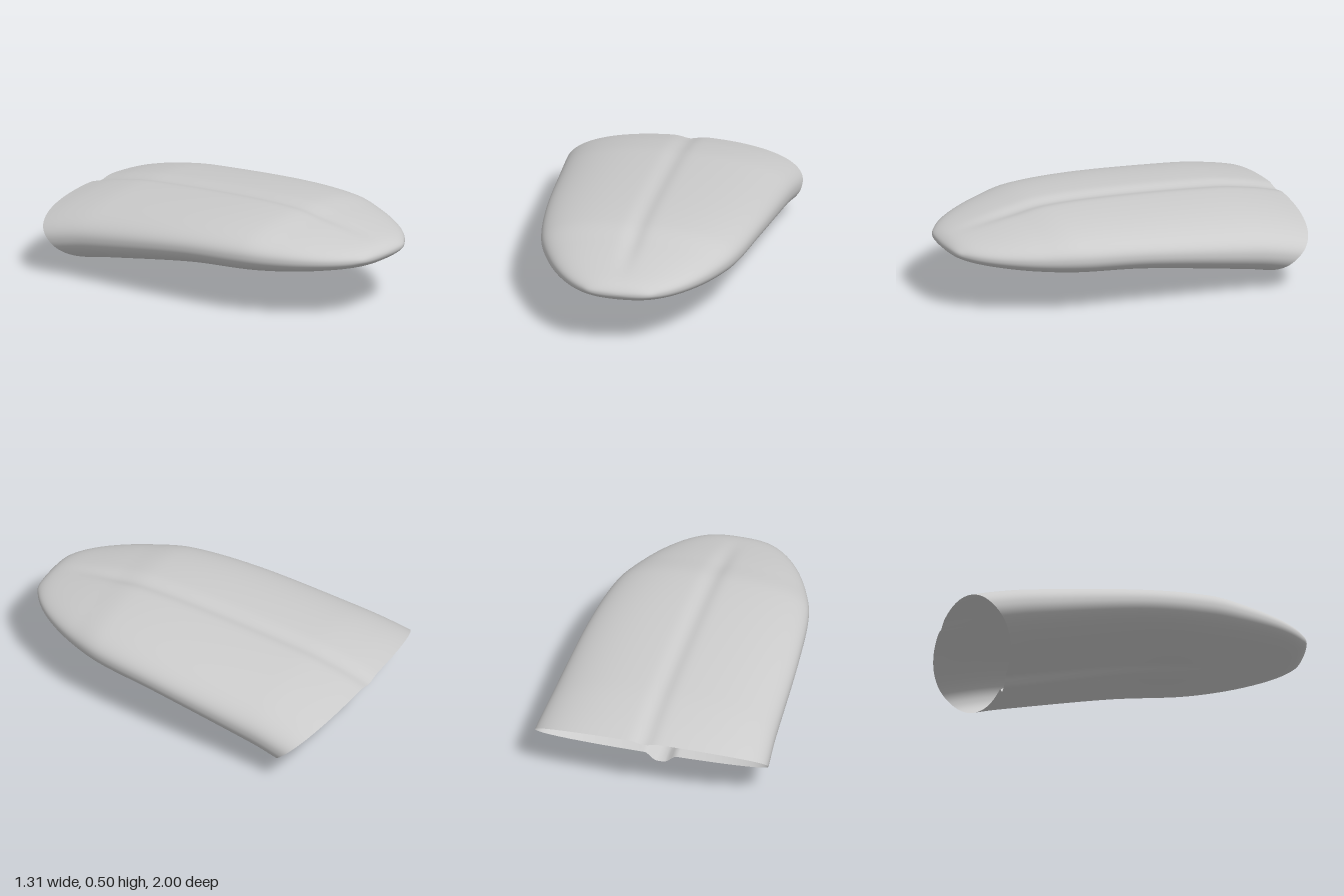
import * as THREE from 'three';

// Lengthwise profile, tip to open end: z, half width, top y, bottom y
const STATIONS = [
  [1, 0, 0.355, 0.355],
  [0.99, 0.14, 0.378, 0.332],
  [0.95, 0.22, 0.405, 0.305],
  [0.8, 0.365, 0.443, 0.265],
  [0.6, 0.475, 0.479, 0.227],
  [0.4, 0.545, 0.506, 0.2],
  [0, 0.597, 0.494, 0.167],
  [-0.6, 0.635, 0.443, 0.062],
  [-0.84, 0.655, 0.4, 0.008],
  [-1, 0.665, 0.356, -0.03],
];
const depthOf = (z) => Math.sqrt(Math.max(0, (1 - z) / 2));
const KNOTS = STATIONS.map((s) => depthOf(s[0]));

// Smooth interpolation of one column; the root spacing rounds the tip
function profile(column, q) {
  const last = KNOTS.length - 1;
  let i = 0;
  while (i < last - 1 && q > KNOTS[i + 1]) i++;
  const val = (k) => STATIONS[k][column];
  const slope = (k) => {
    const a = Math.max(0, k - 1), b = Math.min(last, k + 1);
    return (val(b) - val(a)) / (KNOTS[b] - KNOTS[a]);
  };
  const h = KNOTS[i + 1] - KNOTS[i];
  const t = (q - KNOTS[i]) / h, t2 = t * t, t3 = t2 * t;
  return (2 * t3 - 3 * t2 + 1) * val(i) + (t3 - 2 * t2 + t) * h * slope(i)
    + (3 * t2 - 2 * t3) * val(i + 1) + (t3 - t2) * h * slope(i + 1);
}

const power = (c, e) => Math.sign(c) * Math.pow(Math.abs(c), e);

function shellGeometry(rings = 72, sides = 256) {
  const positions = [], indices = [];
  for (let i = 0; i <= rings; i++) {
    for (let j = 0; j < sides; j++) {
      // Rounded cross-section
      const a = (j / sides) * Math.PI * 2;
      const u = power(Math.cos(a), 2 / 2.25), v = power(Math.sin(a), 2 / 2.25);

      // The open end slants: the top reaches further back than the bottom
      const zEnd = -0.83 - 0.17 * v;
      const q = (i / rings) * depthOf(zEnd);
      const z = 1 - 2 * q * q;
      const x = u * profile(1, q);
      const top = profile(2, q), bottom = profile(3, q);
      let y = (top + bottom) / 2 + (v * (top - bottom)) / 2;

      if (v > 0) {
        // Shallow groove along the top
        y -= 0.016 * THREE.MathUtils.smoothstep(-z, -0.97, -0.5) * Math.exp(-((x / 0.05) ** 2));
      } else {
        // Keel under the bottom, deepening towards the open end
        const depth = 0.045 * Math.pow(THREE.MathUtils.clamp((0.68 - z) / 1.3, 0, 1), 0.7);
        y -= depth * (1 - THREE.MathUtils.smoothstep(Math.abs(x), 0.02, 0.09));
      }
      positions.push(x, y, z);
    }
  }
  for (let i = 0; i < rings; i++) {
    for (let j = 0; j < sides; j++) {
      const k = (j + 1) % sides;
      const a = i * sides + j, b = a + sides, c = (i + 1) * sides + k, d = i * sides + k;
      if (i > 0) indices.push(a, b, d);
      indices.push(b, c, d);
    }
  }
  const geometry = new THREE.BufferGeometry();
  geometry.setAttribute('position', new THREE.Float32BufferAttribute(positions, 3));
  geometry.setIndex(indices);
  geometry.computeVertexNormals();
  return geometry;
}

export function createModel() {
  const group = new THREE.Group();
  group.name = 'hollowShell';
  const material = new THREE.MeshStandardMaterial({ color: 0xcccccc, side: THREE.DoubleSide });
  const shell = new THREE.Mesh(shellGeometry(), material);
  shell.name = 'shell';
  group.add(shell);
  return group;
}
